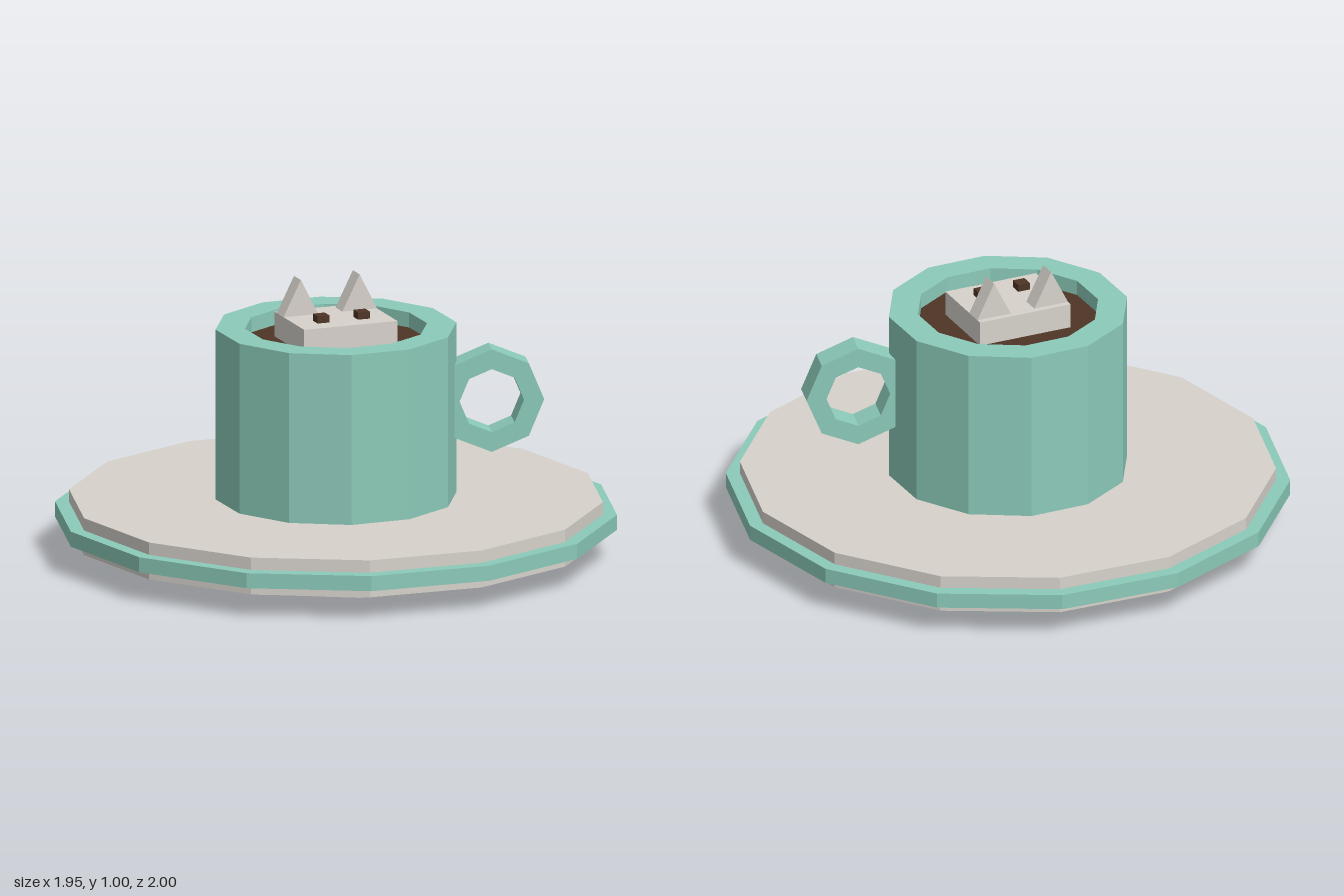
import * as THREE from 'three';

const flat = (name, color, side = THREE.FrontSide) => {
  const m = new THREE.MeshStandardMaterial({ color, flatShading: true, side });
  m.name = name;
  return m;
};

export function createModel() {
  const teal = flat('teal glaze', 0x8bcab9);
  const cream = flat('cream', 0xd7d2cb);
  const coffee = flat('coffee brown', 0x4e3625);

  const model = new THREE.Group();
  model.name = 'cupOnSaucer';

  const add = (parent, name, geometry, material, x = 0, y = 0, z = 0) => {
    const mesh = new THREE.Mesh(geometry, material);
    mesh.name = name;
    mesh.position.set(x, y, z);
    parent.add(mesh);
    return mesh;
  };

  // Faceted disc between two heights
  const disc = (name, r, y0, y1, sides, material) =>
    add(model, name, new THREE.CylinderGeometry(r, r, y1 - y0, sides), material, 0, (y0 + y1) / 2, 0);

  // Saucer
  disc('saucerFoot', 0.655, 0, 0.075, 12, cream);
  disc('saucerPlate', 0.95, 0.075, 0.21, 14, cream);
  disc('saucerRim', 1, 0.11, 0.165, 14, teal);

  // Cup with a thick wall, filled with coffee
  const profile = [[0, 0.21], [0.43, 0.21], [0.43, 0.83], [0.325, 0.83], [0.325, 0.72]]
    .map(([r, y]) => new THREE.Vector2(r, y));
  add(model, 'cup', new THREE.LatheGeometry(profile, 12), teal);
  disc('coffee', 0.328, 0.73, 0.775, 12, coffee);

  // Octagonal ring handle
  const octagon = r => Array.from({ length: 8 }, (_, i) =>
    new THREE.Vector2(r * Math.cos(i * Math.PI / 4), r * Math.sin(i * Math.PI / 4)));
  const ring = new THREE.Shape(octagon(0.187));
  ring.holes.push(new THREE.Path(octagon(0.115)));
  const handle = new THREE.ExtrudeGeometry(ring, { depth: 0.1, bevelEnabled: false });
  add(model, 'handle', handle.translate(0, 0, -0.05), teal, 0.55, 0.552, 0);

  // Marshmallow cat floating in the cup
  const cat = new THREE.Group();
  cat.name = 'marshmallowCat';
  cat.rotation.y = 0.25;
  model.add(cat);
  add(cat, 'catHead', new THREE.BoxGeometry(0.355, 0.115, 0.285), cream, 0, 0.8075, 0);

  // Wedge ears and square eyes, one pair each
  const wedge = new THREE.Shape([[-0.066, 0], [0.066, 0], [0, 0.13]].map(p => new THREE.Vector2(...p)));
  const ear = new THREE.ExtrudeGeometry(wedge, { depth: 0.066, bevelEnabled: false }).translate(0, 0, -0.033);
  const eye = new THREE.BoxGeometry(0.045, 0.03, 0.045);
  for (const s of [-1, 1]) {
    const label = s > 0 ? 'left' : 'right';
    add(cat, label + 'Ear', ear, cream, s * 0.112, 0.865, -0.088);
    add(cat, label + 'Eye', eye, coffee, s * 0.077, 0.876, 0.052);
  }
  return model;
}
